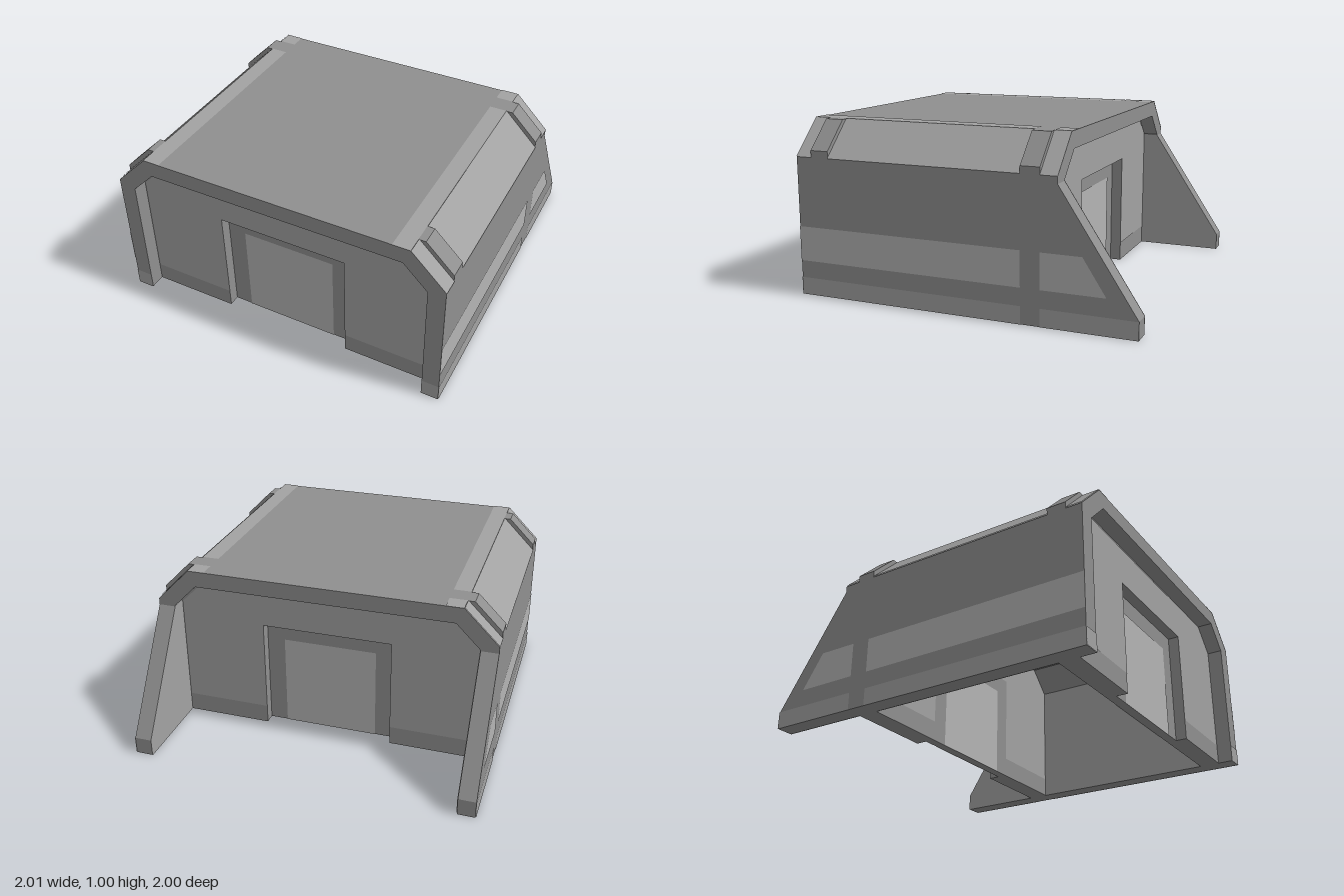
import * as THREE from 'three';

const BACK = -0.565, FRONT = 1;
const LIFT = 0.003; // height of painted areas above their surface
const base = new THREE.MeshStandardMaterial({ color: 0x8f8f8f });
const light = new THREE.MeshStandardMaterial({ color: 0xa2a2a2, side: THREE.DoubleSide });
const bright = new THREE.MeshStandardMaterial({ color: 0xb4b4b4, side: THREE.DoubleSide });

const shapeOf = (pts) => new THREE.Shape(pts.map(([x, y]) => new THREE.Vector2(x, y)));
// Completes a right-hand half outline (bottom to top) with its mirror image
const mirrored = (half) => [...half, ...half.slice().reverse().map(([x, y]) => [-x, y])];
const rect = (x0, x1, y0, y1) => [[x0, y0], [x1, y0], [x1, y1], [x0, y1]];
const innerHalf = [[0.9, 0], [0.9, 0.765], [0.76, 0.905]];

function add(parent, name, geometry, material) {
  const mesh = new THREE.Mesh(geometry, material);
  mesh.name = name;
  parent.add(mesh);
}

// Solid with an x-y outline between two z planes
function slab(parent, name, pts, z0, z1) {
  const g = new THREE.ExtrudeGeometry(shapeOf(pts), { depth: z1 - z0, bevelEnabled: false });
  add(parent, name, g.translate(0, 0, z0), base);
}

// Flat painted area in an x-y plane
function paint(parent, name, pts, z, material) {
  add(parent, name, new THREE.ShapeGeometry(shapeOf(pts)).translate(0, 0, z), material);
}

// Painted area on a side wall, outline given as [z, y]
function sidePaint(parent, name, pts, x, material) {
  const g = new THREE.ShapeGeometry(shapeOf(pts.map(([z, y]) => [-z, y])));
  add(parent, name, g.rotateY(Math.PI / 2).translate(x, 0, 0), material);
}

// End wall with a recessed doorway; dir is the outward z direction
function endWall(name, zEnd, dir) {
  const group = new THREE.Group();
  group.name = name;
  const at = (depth) => zEnd - dir * depth;
  const span = (a, b) => [Math.min(at(a), at(b)), Math.max(at(a), at(b))];
  const doorway = [[-0.387, 0], [-0.387, 0.67], [0.387, 0.67], [0.387, 0]];
  slab(group, 'wallFace', [...mirrored(innerHalf), ...doorway], ...span(0.09, 0.155));
  slab(group, 'wallBacking', mirrored(innerHalf), ...span(0.155, 0.21));

  // Painted wall and door, outside and inside
  const field = [[0.89, 0.115], [0.89, 0.76], [0.755, 0.893]];
  const notch = [[-0.387, 0.115], [-0.387, 0.67], [0.387, 0.67], [0.387, 0.115]];
  const door = rect(-0.28, 0.28, 0, 0.56);
  const inside = 0.21 + LIFT;
  for (const [wallDepth, doorDepth] of [[0.09 - LIFT, 0.155 - LIFT], [inside, inside]]) {
    paint(group, 'wallPanel', [...mirrored(field), ...notch], at(wallDepth), light);
    paint(group, 'doorPanel', door, at(doorDepth), bright);
  }
  return group;
}

export function createModel() {
  const model = new THREE.Group();
  model.name = 'shelter';

  // Chamfered arch forming side walls and roof
  const outer = mirrored([[1, 0], [1, 0.8], [0.8, 1]]);
  slab(model, 'shell', [...outer, ...mirrored(innerHalf).reverse()], BACK, FRONT);

  model.add(endWall('frontWall', FRONT, 1), endWall('backWall', BACK, -1));

  const ribs = [[-0.47, -0.36], [0.795, 0.905]];
  const bays = [[BACK, -0.47], [-0.36, 0.795], [0.905, FRONT]];

  for (const s of [1, -1]) {
    const side = new THREE.Group();
    side.name = s > 0 ? 'leftSide' : 'rightSide';
    model.add(side);

    // Sloping buttress behind the back wall
    const wing = shapeOf([[-BACK, 0], [1, 0], [1, 0.1], [-BACK, 0.76]]);
    const g = new THREE.ExtrudeGeometry(wing, { depth: 0.1, bevelEnabled: false });
    g.rotateY(Math.PI / 2).translate(s > 0 ? 0.9 : -1, 0, 0);
    add(side, 'buttress', g, base);

    // Raised ribs over the chamfers
    const rib = [[1, 0.8], [1, 0.84], [0.84, 1], [0.8, 1]];
    for (const [z0, z1] of ribs) {
      slab(side, 'rib', rib.map(([x, y]) => [s * x, y]), z0, z1);
    }

    // Light chamfer faces between the ribs
    for (const [z0, z1] of bays) {
      const chamfer = new THREE.PlaneGeometry(0.2 * Math.SQRT2, z1 - z0);
      chamfer.rotateX(-Math.PI / 2).rotateZ(-s * Math.PI / 4);
      chamfer.translate(s * (0.9 + LIFT), 0.9 + LIFT, (z0 + z1) / 2);
      add(side, 'chamferPanel', chamfer, light);
    }

    // Roof strips, broken at the rear rib
    for (const [z0, z1] of [[BACK, -0.47], [-0.36, FRONT]]) {
      const strip = new THREE.PlaneGeometry(0.1, z1 - z0).rotateX(-Math.PI / 2);
      add(side, 'roofStrip', strip.translate(s * 0.75, 1 + LIFT, (z0 + z1) / 2), light);
    }

    // Base bands and side panels, broken at the rear rib
    const x = s * (1 + LIFT);
    sidePaint(side, 'baseBand', rect(-0.36, 1, 0, 0.1), x, light);
    sidePaint(side, 'baseBand', rect(-1, -0.47, 0, 0.1), x, light);
    sidePaint(side, 'sidePanel', rect(-0.36, 1, 0.2, 0.4), x, bright);
    sidePaint(side, 'sidePanel', [[-0.47, 0.2], [-0.83, 0.2], [-0.7, 0.4], [-0.47, 0.4]], x, bright);
    paint(side, 'endBand', rect(s * 0.9, s, 0, 0.1), FRONT + LIFT, light);

    // Light inner faces of the room and the buttress
    const xIn = s * (0.9 - LIFT);
    sidePaint(side, 'roomSide', rect(BACK + 0.21, FRONT - 0.21, 0, 0.765), xIn, light);
    const wingFace = [[BACK + 0.09, 0], [-1, 0], [-1, 0.1], [BACK, 0.76], [BACK + 0.09, 0.76]];
    sidePaint(side, 'buttressInner', wingFace, xIn, light);
  }
  return model;
}
